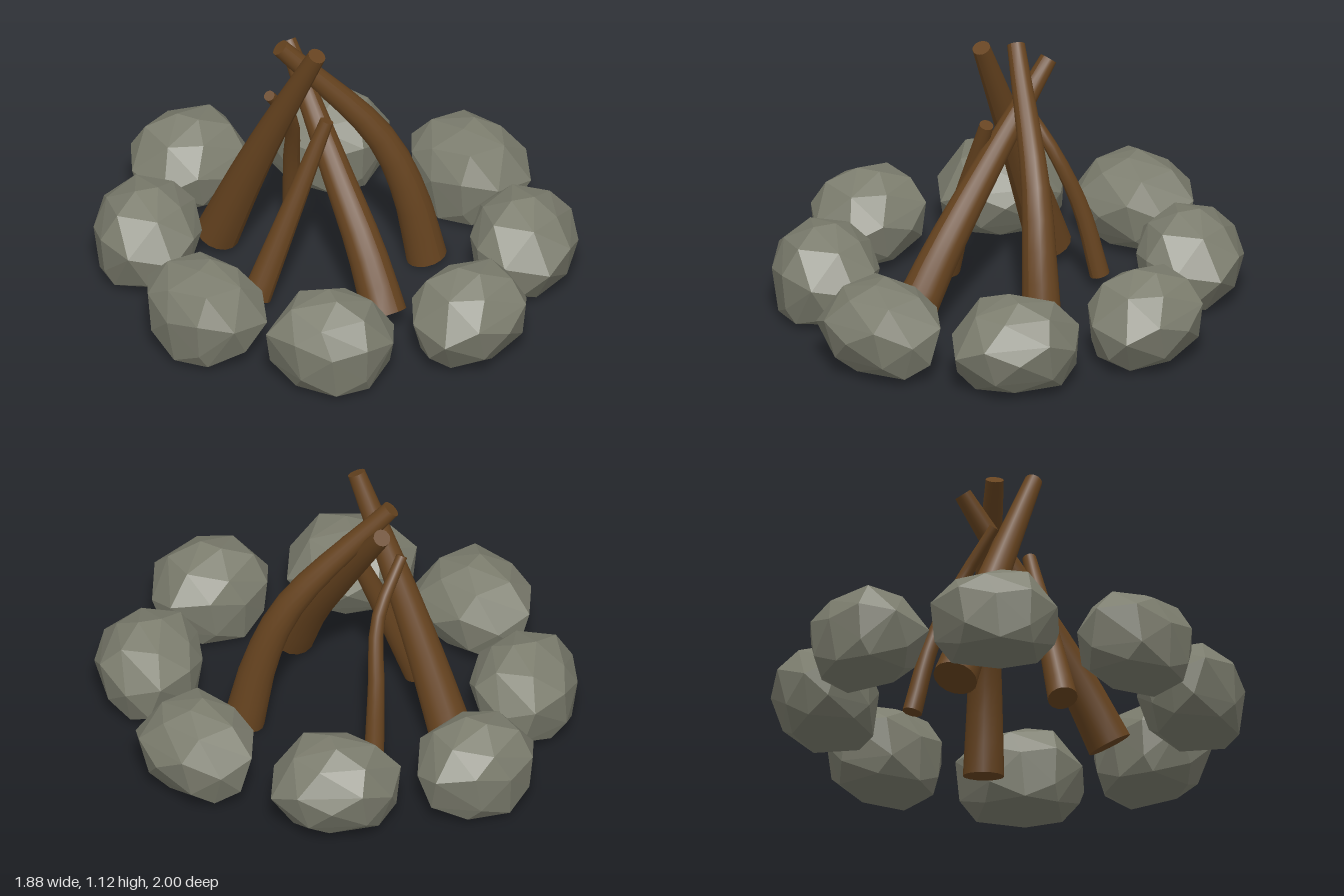
import * as THREE from 'three';
import { ConvexGeometry } from 'three/addons/geometries/ConvexGeometry.js';

const V = (x, y, z) => new THREE.Vector3(x, y, z);

// Faceted boulder: hull of a base ring, two girdle heights, a shoulder ring and a crown
function stoneGeometry() {
  const points = [
    // base
    [-0.19, 0.04, 0.03], [-0.13, 0.04, 0.16], [0.05, 0.035, 0.17], [0.13, 0.05, 0.02], [0.06, 0.045, -0.17], [-0.12, 0.045, -0.13],
    // girdle
    [-0.065, 0.25, -0.25], [0.075, 0.2, -0.225], [0.185, 0.27, -0.115], [0.215, 0.2, 0.005], [0.185, 0.25, 0.145],
    [0.105, 0.19, 0.255], [-0.075, 0.22, 0.255], [-0.185, 0.25, 0.155], [-0.215, 0.22, 0.015], [-0.175, 0.27, -0.135],
    // lower girdle
    [0.17, 0.1, 0.1], [0.15, 0.11, -0.13], [-0.02, 0.1, -0.235], [-0.18, 0.11, -0.11], [-0.17, 0.1, 0.15], [0.0, 0.09, 0.24],
    // shoulder and crown
    [0.13, 0.345, 0.06], [0.04, 0.345, 0.17], [-0.12, 0.355, 0.14], [-0.165, 0.33, -0.03], [-0.05, 0.36, -0.15],
    [0.1, 0.35, -0.12], [0.04, 0.4, 0.0], [-0.05, 0.4, 0.03],
  ];
  return new ConvexGeometry(points.map((p) => V(...p)));
}

// Tapered log: a cylinder bent along a curve
function logGeometry(points, rBottom, rTop) {
  const curve = new THREE.CatmullRomCurve3(points.map((p) => V(...p)));
  const geo = new THREE.CylinderGeometry(1, 1, 1, 16, 10);
  const pos = geo.attributes.position;
  for (let i = 0; i < pos.count; i++) {
    const t = THREE.MathUtils.clamp(pos.getY(i) + 0.5, 0, 1);
    const r = THREE.MathUtils.lerp(rBottom, rTop, t);
    const tangent = curve.getTangentAt(t);
    const u = V(1, 0, 0).addScaledVector(tangent, -tangent.x).normalize();
    const w = u.clone().cross(tangent);
    const p = curve.getPointAt(t)
      .addScaledVector(u, pos.getX(i) * r)
      .addScaledVector(w, pos.getZ(i) * r);
    pos.setXYZ(i, p.x, p.y, p.z);
  }
  geo.computeVertexNormals();
  return geo;
}

export function createModel() {
  const model = new THREE.Group();
  model.name = 'campfire';

  // Ring of stones, long side along the ring
  const stoneMat = new THREE.MeshStandardMaterial({ color: 0x7c7d6e, flatShading: true });
  const stoneGeo = stoneGeometry();
  const ring = new THREE.Group();
  ring.name = 'stoneRing';
  const stones = [ // x, z, turn in degrees
    [0.725, 0.005, 0], [0.47, -0.54, 45], [-0.03, -0.785, -90], [-0.51, -0.54, -45],
    [-0.73, 0, 0], [-0.53, 0.51, 45], [0, 0.78, -90], [0.51, 0.55, -45],
  ];
  for (const [x, z, turn] of stones) {
    const stone = new THREE.Mesh(stoneGeo, stoneMat);
    stone.name = 'stone';
    stone.position.set(x, 0, z);
    stone.rotation.y = THREE.MathUtils.degToRad(turn);
    ring.add(stone);
  }
  model.add(ring);

  // Leaning logs, each listed from the ground up
  const woodMat = new THREE.MeshStandardMaterial({ color: 0x66431f });
  const logs = {
    frontLog: [[[-0.145, 0.09, 0.43], [-0.115, 0.32, 0.29], [-0.085, 0.57, 0.1], [-0.02, 1.01, -0.25]], 0.09, 0.035],
    backLog: [[[-0.2, 0.08, -0.46], [-0.185, 0.4, -0.32], [-0.165, 0.7, -0.18], [-0.13, 1.12, 0.03]], 0.09, 0.036],
    leftLog: [[[0.325, 0.035, 0.185], [0.27, 0.35, 0.14], [0.18, 0.62, 0.06], [-0.13, 1.06, -0.18]], 0.082, 0.036],
    rightLog: [[[-0.385, 0.06, -0.05], [-0.24, 0.43, 0.0], [-0.09, 0.8, 0.045]], 0.06, 0.028],
    thinLog: [[[0.135, 0.07, -0.38], [0.08, 0.36, -0.33], [0.0, 0.62, -0.25], [-0.16, 0.83, -0.21]], 0.04, 0.022],
  };
  for (const [name, [points, rBottom, rTop]] of Object.entries(logs)) {
    const log = new THREE.Mesh(logGeometry(points, rBottom, rTop), woodMat);
    log.name = name;
    model.add(log);
  }
  return model;
}
